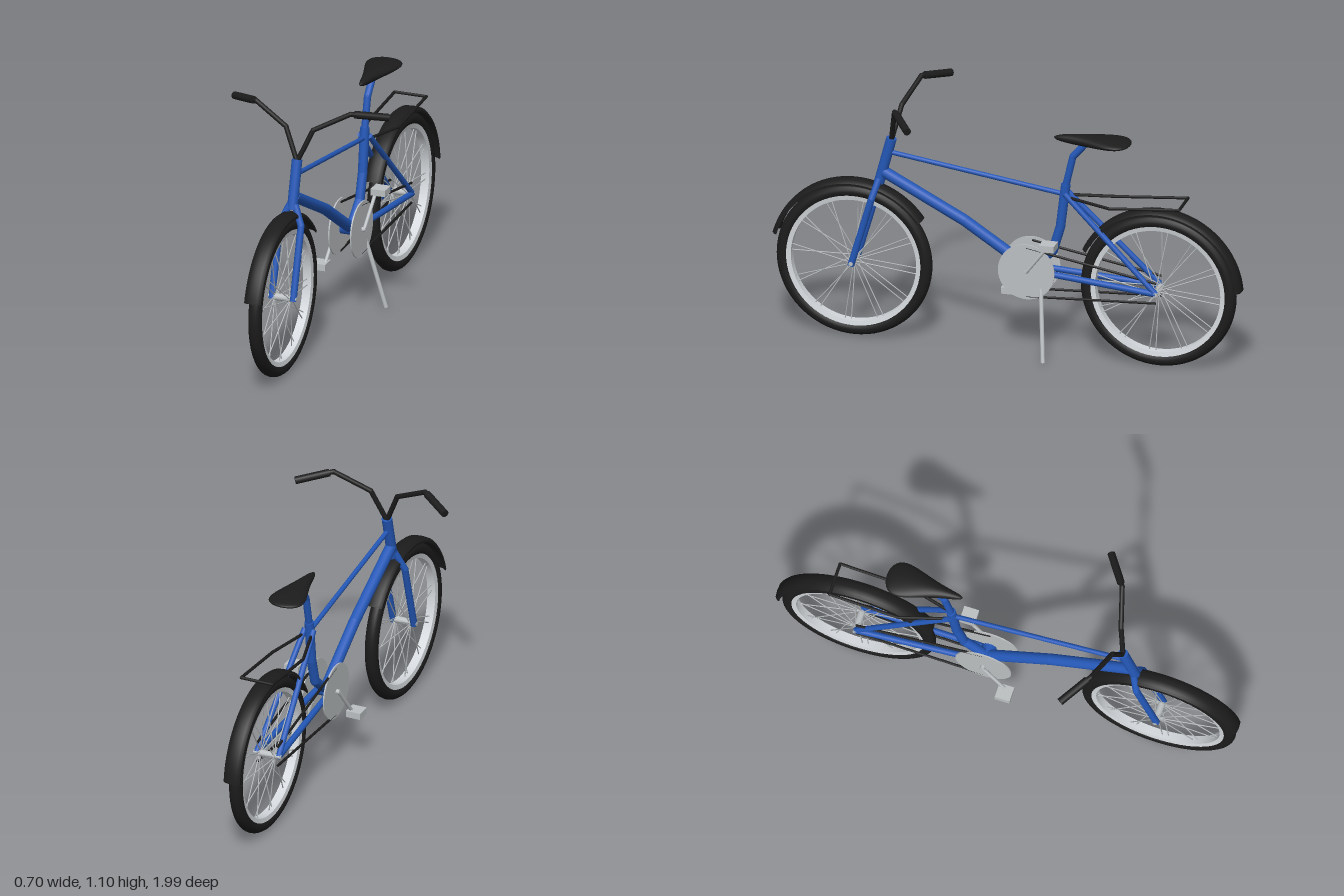
import * as THREE from 'three';
import { mergeGeometries, toCreasedNormals } from 'three/addons/utils/BufferGeometryUtils.js';

const mat = (name, color, side = THREE.FrontSide) => {
  const m = new THREE.MeshStandardMaterial({ color, side });
  m.name = name;
  return m;
};

export function createModel() {
  const blue = mat('frame blue', 0x2458b8);
  const black = mat('rubber black', 0x1c1c1c, THREE.DoubleSide);
  const metal = mat('metal grey', 0xbcc0c2);
  const rimGrey = mat('rim silver', 0xd4d8dc);

  const bike = new THREE.Group();
  bike.name = 'bicycle';
  const add = (name, geo, material, parent = bike) => {
    const mesh = new THREE.Mesh(geo, material);
    mesh.name = name;
    parent.add(mesh);
    return mesh;
  };

  // Straight round bar between two points
  const rod = (a, b, r0, r1 = r0, sides = 14) => {
    const p = new THREE.Vector3(...a), q = new THREE.Vector3(...b);
    const dir = q.clone().sub(p);
    const g = new THREE.CylinderGeometry(r1, r0, dir.length(), sides);
    g.applyQuaternion(new THREE.Quaternion().setFromUnitVectors(new THREE.Vector3(0, 1, 0), dir.normalize()));
    return g.translate(...p.add(q).multiplyScalar(0.5).toArray());
  };
  // Bent tube: bars with round joints
  const bent = (pts, r, sides = 14) => {
    const parts = [];
    pts.forEach((p, i) => {
      if (i) parts.push(rod(pts[i - 1], p, r, r, sides));
      if (i && i < pts.length - 1) parts.push(new THREE.SphereGeometry(r, sides, 8).translate(...p));
    });
    return mergeGeometries(parts);
  };
  // Ring of closed section (radius, x) turned about the x axis; angle runs from +z towards +y
  const ring = (section, from = 0, to = 360) => {
    const pts = section.map(([r, x]) => new THREE.Vector2(r, x));
    const rad = Math.PI / 180;
    const g = new THREE.LatheGeometry(pts, 64, from * rad, (to - from) * rad).rotateZ(Math.PI / 2);
    return toCreasedNormals(g, 0.7);
  };
  const mirrored = (fn) => [-1, 1].forEach((s) => fn(s, s > 0 ? 'left' : 'right'));

  // Wheels and mudguards
  const axleY = 0.335;
  const makeWheel = (name, z, from, to) => {
    const wheel = new THREE.Group();
    wheel.name = name + 'Wheel';
    wheel.position.set(0, axleY, z);
    bike.add(wheel);
    add('tyre', new THREE.TorusGeometry(0.302, 0.028, 16, 72).rotateY(Math.PI / 2), black, wheel);
    add('rim', ring([[0.266, -0.018], [0.286, -0.022], [0.286, 0.022], [0.266, 0.018], [0.266, -0.018]]), rimGrey, wheel);
    add('hub', mergeGeometries([
      rod([-0.062, 0, 0], [0.062, 0, 0], 0.009),
      rod([-0.036, 0, 0], [0.036, 0, 0], 0.015),
    ]), metal, wheel);
    const spokes = [];
    mirrored((s) => {
      for (let i = 0; i < 12; i++) {
        const a = (i * Math.PI) / 6 + 0.1, b = a + s * 0.05, c = a - s * 0.3;
        spokes.push(rod([s * 0.032, 0.015 * Math.sin(c), 0.015 * Math.cos(c)],
          [0, 0.27 * Math.sin(b), 0.27 * Math.cos(b)], 0.0025, 0.0025, 5));
      }
    });
    add('spokes', mergeGeometries(spokes), metal, wheel);
    add(name + 'Mudguard', ring([[0.334, -0.037], [0.343, -0.037], [0.354, -0.024], [0.356, 0], [0.354, 0.024],
      [0.343, 0.037], [0.334, 0.037], [0.343, 0.022], [0.346, 0], [0.343, -0.022], [0.334, -0.037]], from, to), black, wheel);
  };
  makeWheel('front', 0.652, 15, 145);
  makeWheel('rear', -0.64, 26, 175);

  // Frame
  const bb = [0, 0.375, -0.09];
  add('headTube', rod([0, 0.685, 0.548], [0, 0.885, 0.495], 0.022), blue);
  add('downTube', bent([[0, 0.735, 0.53], [0, 0.555, 0.185], bb], 0.024), blue);
  add('topTube', rod([0, 0.823, 0.5], [0, 0.715, -0.245], 0.01), blue);
  add('seatTube', bent([[0, 0.76, -0.245], [0, 0.57, -0.222], [0, 0.46, -0.19], bb], 0.02), blue);
  add('seatPost', bent([[0, 0.74, -0.242], [0, 0.885, -0.275], [0, 0.955, -0.335]], 0.015), blue);
  add('bottomBracket', rod([-0.038, bb[1], bb[2]], [0.038, bb[1], bb[2]], 0.03), blue);
  mirrored((s, side) => {
    add(side + 'ForkBlade', bent([[s * 0.012, 0.705, 0.545], [s * 0.047, 0.625, 0.568], [s * 0.047, 0.325, 0.655]], 0.0145), blue);
    add(side + 'SeatStay', rod([s * 0.02, 0.725, -0.245], [s * 0.05, 0.335, -0.64], 0.012), blue);
    add(side + 'ChainStay', rod([s * 0.03, 0.375, -0.12], [s * 0.05, 0.335, -0.64], 0.013), blue);
  });

  // Handlebar and grips
  mirrored((s, side) => {
    const bend = [s * 0.208, 1.088, 0.425], end = [s * 0.34, 1.06, 0.335];
    add(side + 'Handlebar', bent([[0, 0.875, 0.496], [s * 0.06, 1.012, 0.468], bend, end], 0.0105), black);
    add(side + 'Grip', rod([s * 0.222, 1.085, 0.415], end, 0.016), black);
  });

  // Saddle: flattened ball, narrow at the nose
  const saddle = new THREE.SphereGeometry(1, 32, 24).rotateX(Math.PI / 2);
  const pos = saddle.attributes.position;
  for (let i = 0; i < pos.count; i++) {
    const t = pos.getZ(i);
    pos.setXYZ(i, pos.getX(i) * (0.05 - 0.055 * t + 0.03 * t * t), pos.getY(i) * 0.024 + 0.963, t * 0.163 - 0.358);
  }
  saddle.computeVertexNormals();
  add('saddle', saddle, black);

  // Luggage rack
  add('rack', bent([[-0.015, 0.71, -0.25], [-0.07, 0.7, -0.447], [-0.07, 0.725, -0.745],
    [0.07, 0.725, -0.745], [0.07, 0.7, -0.447], [0.015, 0.71, -0.25]], 0.0065, 8), black);

  // Chainwheels, chains, cranks and pedals
  add('crankAxle', rod([-0.066, bb[1], bb[2]], [0.066, bb[1], bb[2]], 0.01), metal);
  mirrored((s, side) => {
    add(side + 'Chainwheel', rod([s * 0.045, bb[1], bb[2]], [s * 0.051, bb[1], bb[2]], 0.12, 0.12, 40), metal);
    [[0.48, 0.38], [0.266, 0.293]].forEach(([y0, y1], i) =>
      add(side + (i ? 'LowerChain' : 'UpperChain'), rod([s * 0.046, y0, -0.09], [s * 0.046, y1, -0.64], 0.0055, 0.0055, 8), black));
    const y = bb[1] + s * 0.138, z = bb[2] - s * 0.105;
    add(side + 'Crank', rod([s * 0.06, bb[1], bb[2]], [s * 0.072, y, z], 0.0075), metal);
    add(side + 'Pedal', new THREE.BoxGeometry(0.064, 0.028, 0.064).translate(s * 0.09, y, z), metal);
  });

  // Kickstand
  add('kickstand', rod([0.035, 0.335, -0.148], [0.12, 0.01, -0.18], 0.009), metal);

  return bike;
}
